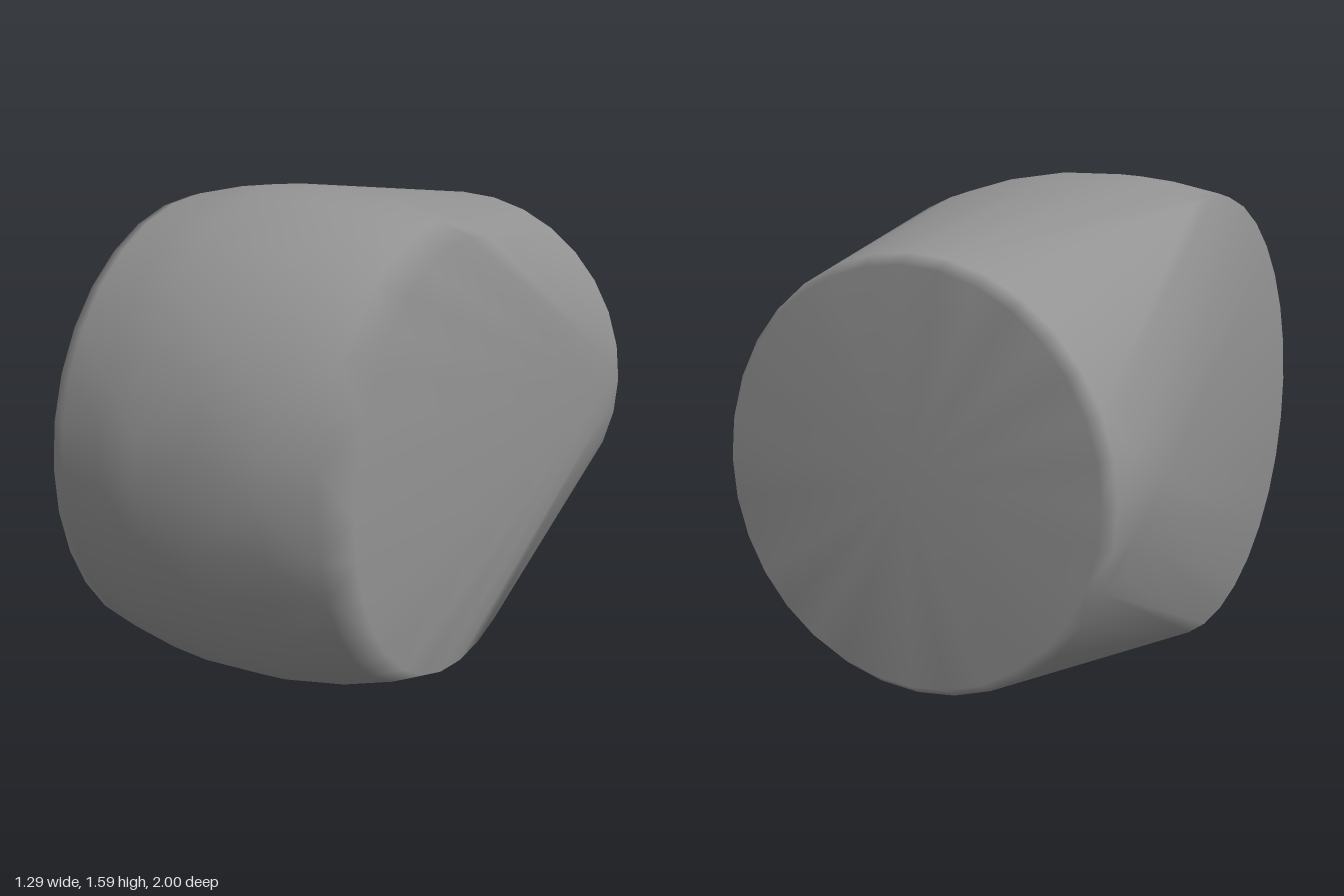
import * as THREE from 'three';
import { ConvexGeometry } from 'three/addons/geometries/ConvexGeometry.js';
import { mergeVertices } from 'three/addons/utils/BufferGeometryUtils.js';

const SEGMENTS = 32;
const CENTER_Y = 0.795;
const BARREL_Z = 0.205;

// Barrel across x: [x, radius]
const barrelProfile = [
  [-0.425, 0.735], [-0.385, 0.746], [-0.22, 0.78], [-0.09, 0.795], [0.12, 0.795],
  [0.33, 0.765], [0.49, 0.721], [0.585, 0.68],
];

// Round socket along z: [z, radius]
const socketProfile = [[-1, 0.615], [-0.96, 0.645], [-0.82, 0.647], [-0.6, 0.63]];

function ring(place) {
  return Array.from({ length: SEGMENTS }, (_, i) => {
    const a = (i / SEGMENTS) * Math.PI * 2;
    return place(Math.cos(a), Math.sin(a));
  });
}

export function createModel() {
  const group = new THREE.Group();
  group.name = 'jointHousing';

  // Rounded barrel blending into the flat round back end: one convex skin over all rings
  const points = [
    ...barrelProfile.flatMap(([x, r]) =>
      ring((c, s) => new THREE.Vector3(x, CENTER_Y + r * s, BARREL_Z + r * c))),
    ...socketProfile.flatMap(([z, r]) =>
      ring((c, s) => new THREE.Vector3(r * c, CENTER_Y + r * s, z))),
    // Middle of the back face, so its triangles fan out evenly
    new THREE.Vector3(0, CENTER_Y, -1.001),
  ];

  // Shared vertices give soft rims; the large faces keep theirs nearly flat
  const skin = new ConvexGeometry(points);
  skin.deleteAttribute('normal');
  const geometry = mergeVertices(skin);
  geometry.computeVertexNormals();

  const body = new THREE.Mesh(geometry, new THREE.MeshStandardMaterial({ color: 0x939393 }));
  body.name = 'housingBody';
  group.add(body);
  return group;
}
